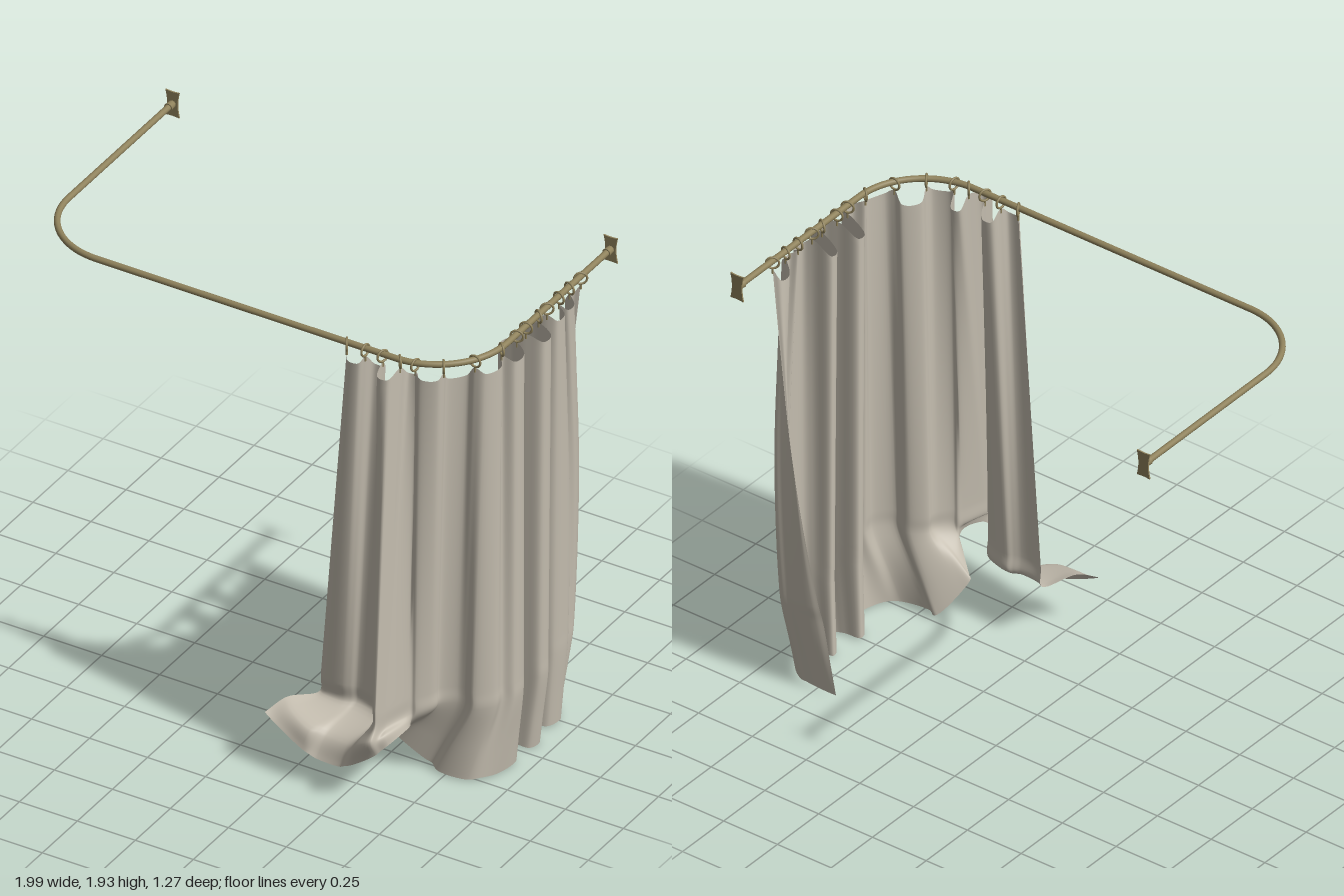
import * as THREE from 'three';

const ROD_Y = 1.875, BACK = -0.62, FRONT = 0.42, LEFT = 0.92, RIGHT = -0.97, BEND = 0.3;
const V = (x, y, z) => new THREE.Vector3(x, y, z);

// Ring positions along the rod (x, z), from the front run round the bend to the back
const RINGS = [[0.41, 0.42], [0.49, 0.42], [0.565, 0.42], [0.64, 0.42], [0.70, 0.41], [0.795, 0.365],
  [0.875, 0.275], [0.918, 0.155], [0.92, 0.05], [0.92, -0.015], [0.92, -0.105], [0.92, -0.165],
  [0.92, -0.25], [0.92, -0.325], [0.92, -0.405]];
// How far the cloth folds outward (+) or inward (-) between neighbouring rings
const FOLDS = [0.025, -0.04, 0.065, -0.05, 0.02, -0.03, 0.03, 0.045, -0.09, 0.065, -0.08, 0.035, 0.03, -0.03];
// Cross-section just above the hem (x, z)
const LOW = [[0.265, 0.375], [0.33, 0.39], [0.40, 0.385], [0.47, 0.385], [0.55, 0.42], [0.61, 0.56],
  [0.65, 0.57], [0.67, 0.49], [0.69, 0.42], [0.72, 0.39], [0.745, 0.34], [0.77, 0.295], [0.83, 0.27],
  [0.90, 0.25], [0.93, 0.17], [0.96, 0.10], [0.92, 0.045], [0.83, 0.01], [0.91, -0.02], [0.97, -0.06],
  [0.92, -0.11], [0.84, -0.145], [0.90, -0.175], [0.94, -0.23], [0.92, -0.30], [0.90, -0.37],
  [0.84, -0.40], [0.77, -0.40], [0.70, -0.385]];
// Hem (x, y, z): the front end kicks outward, the rest hangs to the ground
const HEM = [[0.15, 0.24, 0.575], [0.26, 0.18, 0.59], [0.35, 0.14, 0.60], [0.43, 0.12, 0.59],
  [0.51, 0.14, 0.605], [0.60, 0.20, 0.61], [0.66, 0.25, 0.59], [0.69, 0.28, 0.52], [0.69, 0.28, 0.43],
  [0.63, 0.21, 0.39], [0.585, 0.17, 0.36], [0.63, 0.08, 0.30], [0.68, 0.02, 0.26], [0.78, 0.01, 0.28],
  [0.88, 0.01, 0.24], [0.92, 0.005, 0.12], [0.90, 0.01, 0.05], [0.82, 0.01, 0.01], [0.88, 0.01, -0.02],
  [0.93, 0.003, -0.06], [0.90, 0.01, -0.11], [0.83, 0.01, -0.145], [0.88, 0.01, -0.17], [0.92, 0.01, -0.22],
  [0.90, 0.01, -0.28], [0.86, 0.01, -0.33], [0.80, 0.01, -0.355], [0.73, 0.01, -0.36], [0.66, 0.01, -0.36]];

// U-shaped rod with two rounded corners
function rodGeometry() {
  const k = BEND * 0.4477, zb = FRONT - BEND;
  const P = (x, z) => V(x, ROD_Y, z);
  const path = new THREE.CurvePath();
  path.add(new THREE.LineCurve3(P(RIGHT, BACK), P(RIGHT, zb)));
  path.add(new THREE.CubicBezierCurve3(P(RIGHT, zb), P(RIGHT, FRONT - k), P(RIGHT + k, FRONT), P(RIGHT + BEND, FRONT)));
  path.add(new THREE.LineCurve3(P(RIGHT + BEND, FRONT), P(LEFT - BEND, FRONT)));
  path.add(new THREE.CubicBezierCurve3(P(LEFT - BEND, FRONT), P(LEFT - k, FRONT), P(LEFT, FRONT - k), P(LEFT, zb)));
  path.add(new THREE.LineCurve3(P(LEFT, zb), P(LEFT, BACK)));
  return new THREE.TubeGeometry(path, 160, 0.0125, 16);
}

// Waisted wall plate
function plateGeometry() {
  const s = new THREE.Shape();
  s.moveTo(-0.03, -0.055);
  s.quadraticCurveTo(0, -0.05, 0.03, -0.055);
  s.quadraticCurveTo(0.015, 0, 0.03, 0.055);
  s.quadraticCurveTo(0, 0.05, -0.03, 0.055);
  s.quadraticCurveTo(-0.015, 0, -0.03, -0.055);
  return new THREE.ExtrudeGeometry(s, { depth: 0.006, bevelEnabled: false, curveSegments: 10 });
}

// Outward direction of the rod at a point, in plan
function outward(x, z) {
  const cx = LEFT - BEND, cz = FRONT - BEND;
  if (x <= cx) return V(0, 0, 1);
  if (z <= cz) return V(1, 0, 0);
  return V(x - cx, 0, z - cz).normalize();
}

// Widen every fold tip (odd points) into a round lobe
function roundFolds(pts) {
  return pts.flatMap((p, i) => {
    if (i % 2 === 0) return [p];
    const half = pts[i + 1].clone().sub(pts[i - 1]).multiplyScalar(0.3);
    return [p.clone().sub(half), p.clone().add(half)];
  });
}

// Pleated cloth lofted from the ring line down to the hem
function curtainGeometry() {
  const top = [];
  RINGS.forEach(([x, z], i) => {
    top.push(V(x, 1.838, z));
    if (i === RINGS.length - 1) return;
    const mx = (x + RINGS[i + 1][0]) / 2, mz = (z + RINGS[i + 1][1]) / 2;
    top.push(V(mx, FOLDS[i] > 0 ? 1.815 : 1.79, mz).addScaledVector(outward(mx, mz), FOLDS[i]));
  });
  const low = LOW.map(([x, z], i) => V(x, i < 5 ? 0.26 : 0.33, z));
  const hem = HEM.map((p) => V(...p));
  // Sections between top and low; the back end billows out
  const blend = (t, bulge) => top.map((p, i) => {
    const q = p.clone().lerp(low[i], t);
    q.z -= bulge * Math.max(0, Math.min(1, (i - 22) / 3));
    return q;
  });
  // The kicked-out front end runs level before it droops
  const shelf = low.map((p, i) => {
    const q = p.clone().lerp(hem[i], 0.6), lift = Math.max(0, Math.min(1, (8 - i) / 3));
    q.y += 0.03 * lift;
    q.z += 0.04 * lift * (i > 0 ? 1 : 0);
    return q;
  });
  const rows = [top, blend(0.2, 0.02), blend(0.5, 0.042), blend(0.75, 0.035), blend(0.95, 0.012), low, shelf, hem]
    .map((pts) => new THREE.CatmullRomCurve3(roundFolds(pts)));
  const NU = 252, NV = 56;
  const geo = new THREE.PlaneGeometry(1, 1, NU, NV);
  for (let i = 0; i <= NU; i++) {
    const column = new THREE.CatmullRomCurve3(rows.map((r) => r.getPoint(i / NU)));
    for (let j = 0; j <= NV; j++) {
      const p = column.getPoint(j / NV);
      geo.attributes.position.setXYZ(j * (NU + 1) + i, p.x, Math.max(0, p.y), p.z);
    }
  }
  geo.computeVertexNormals();
  return geo;
}

export function createModel() {
  const brass = new THREE.MeshStandardMaterial({ color: 0x8f825c });
  brass.name = 'aged brass';
  const cloth = new THREE.MeshStandardMaterial({ color: 0xc3bcae, side: THREE.DoubleSide });
  cloth.name = 'linen cloth';
  const model = new THREE.Group();
  const add = (parent, name, geo, mat, x = 0, y = 0, z = 0) => {
    const mesh = new THREE.Mesh(geo, mat);
    mesh.name = name;
    mesh.position.set(x, y, z);
    parent.add(mesh);
    return mesh;
  };

  add(model, 'rod', rodGeometry(), brass);

  // Wall mounts at both ends of the rod
  const plate = plateGeometry();
  const collar = new THREE.CylinderGeometry(0.015, 0.017, 0.03, 20).rotateX(-Math.PI / 2);
  for (const [side, x] of [['left', LEFT], ['right', RIGHT]]) {
    add(model, side + 'WallPlate', plate, brass, x, ROD_Y, BACK - 0.003);
    add(model, side + 'Collar', collar, brass, x, ROD_Y, BACK + 0.018);
  }

  // Rings, each turned a little on the rod, with a short hook into the cloth
  const loop = new THREE.TorusGeometry(0.024, 0.0045, 8, 24);
  const hook = new THREE.CylinderGeometry(0.004, 0.004, 0.025, 8);
  RINGS.forEach(([x, z], i) => {
    const ring = new THREE.Group();
    ring.name = 'curtainRing';
    ring.position.set(x, ROD_Y - 0.009, z);
    const o = outward(x, z);
    ring.rotation.y = Math.atan2(o.x, o.z) + Math.PI / 2 + 0.6 * Math.sin(i * 2.3 + 1);
    add(ring, 'loop', loop, brass);
    add(ring, 'hook', hook, brass, 0, -0.035, 0);
    model.add(ring);
  });

  add(model, 'curtain', curtainGeometry(), cloth);
  return model;
}
